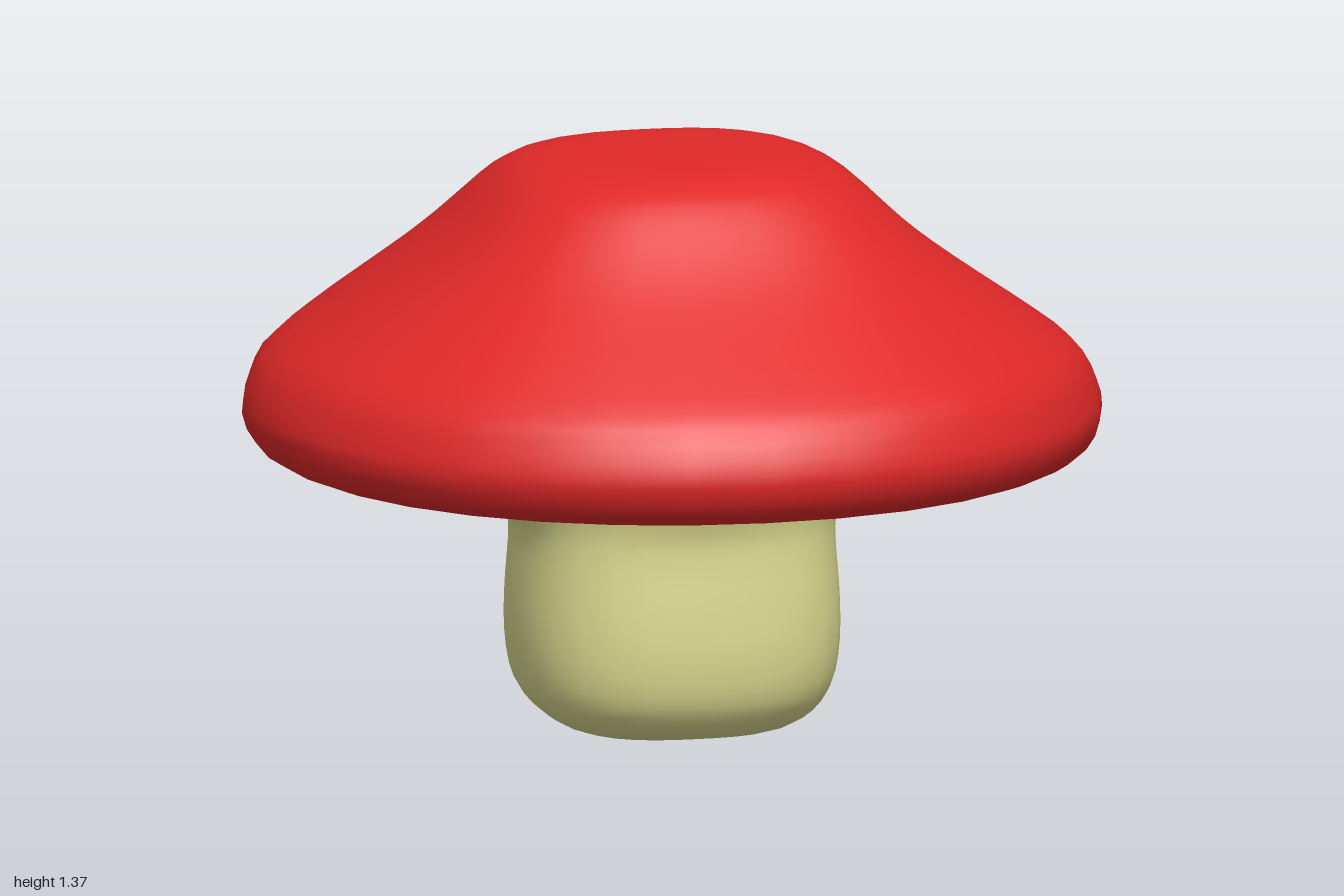
import * as THREE from 'three';

const SIDES = 32;

// Skin of rounded-square rings: each profile point is [half width, height, sag],
// squareness(y) is the superellipse exponent (2 = circle).
function ringSkin(profile, squareness, steps) {
  const curve = new THREE.CatmullRomCurve3(
    profile.map(([r, y, sag = 0]) => new THREE.Vector3(r, y, sag)), false, 'centripetal');
  const rings = curve.getPoints((profile.length - 1) * steps);
  const positions = [], index = [];

  rings.forEach(({ x: r, y, z: sag }, i) => {
    const n = squareness(y);
    for (let j = 0; j < SIDES; j++) {
      const a = (j / SIDES) * Math.PI * 2;
      const c = Math.cos(a), s = Math.sin(a);
      const k = Math.max(r, 0) / Math.pow(Math.abs(c) ** n + Math.abs(s) ** n, 1 / n);
      // the collar under the cap sags and widens slightly towards the back right
      const lean = THREE.MathUtils.clamp(-(c + s), 0, 1) * sag;
      const out = k * (1 + 0.04 * lean);
      positions.push(c * out, y - 0.045 * lean, s * out);
      if (i < rings.length - 1) {
        const p = i * SIDES + j, q = i * SIDES + (j + 1) % SIDES;
        index.push(p, p + SIDES, q, q, p + SIDES, q + SIDES);
      }
    }
  });

  const geometry = new THREE.BufferGeometry();
  geometry.setAttribute('position', new THREE.Float32BufferAttribute(positions, 3));
  geometry.setIndex(index);
  geometry.computeVertexNormals();
  return geometry;
}

export function createModel() {
  const red = new THREE.MeshStandardMaterial({ color: 0xe02828 });
  red.name = 'cap red';
  const cream = new THREE.MeshStandardMaterial({ color: 0xdcda90 });
  cream.name = 'stem cream';

  const model = new THREE.Group();
  model.name = 'mushroom';

  // Cap: underside from the collar outwards, round rim, then up to a squarish crown
  const cap = new THREE.Mesh(ringSkin([
    [0.46, 0.63, 1], [0.6, 0.636, 0.7], [0.77, 0.641, 0.3], [0.9, 0.648, 0],
    [0.965, 0.68], [0.997, 0.75], [0.985, 0.81], [0.95, 0.88], [0.87, 0.945],
    [0.74, 1.035], [0.62, 1.12], [0.54, 1.185], [0.47, 1.25], [0.41, 1.305],
    [0.36, 1.335], [0.29, 1.357], [0.2, 1.367], [0.1, 1.37], [0, 1.37],
  ], (y) => 2.06 + 0.6 * THREE.MathUtils.smoothstep(y, 0.8, 1.28), 2), red);
  cap.name = 'cap';

  // Stem: rounded block that flares into a collar below the cap
  const stem = new THREE.Mesh(ringSkin([
    [0, 0], [0.12, 0.002], [0.2, 0.007], [0.27, 0.025], [0.32, 0.06], [0.355, 0.11],
    [0.372, 0.18], [0.377, 0.26], [0.374, 0.35], [0.367, 0.44], [0.37, 0.51, 0.3],
    [0.395, 0.58, 0.7], [0.43, 0.61, 0.95], [0.465, 0.631, 1],
  ], (y) => 2.7 - 0.5 * THREE.MathUtils.smoothstep(y, 0.45, 0.62), 2), cream);
  stem.name = 'stem';

  model.add(cap, stem);
  return model;
}
